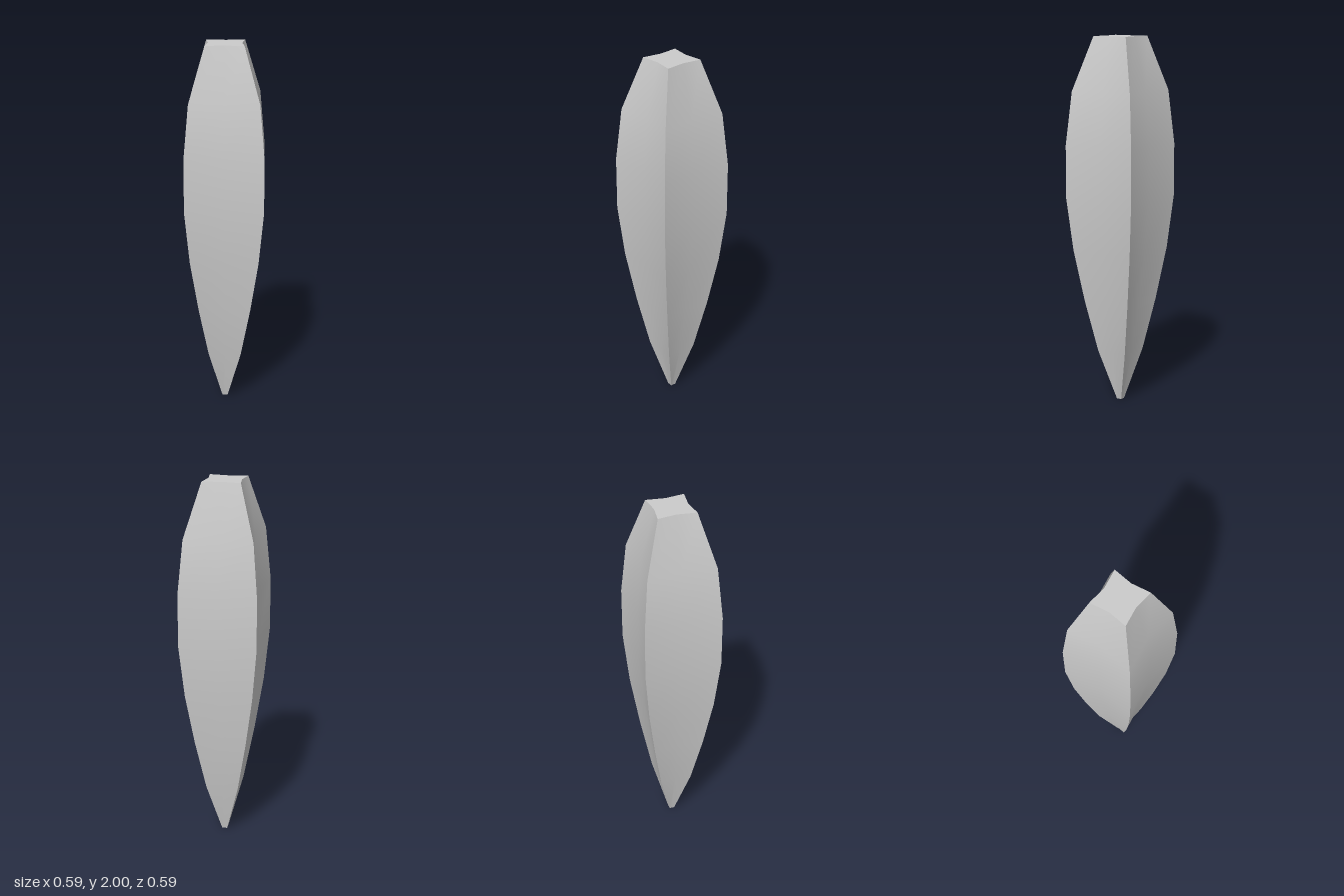
import * as THREE from 'three';
import { toCreasedNormals } from 'three/addons/utils/BufferGeometryUtils.js';

// Ridge radius at evenly spaced heights, bottom to top
const RADII = [0.02, 0.125, 0.198, 0.258, 0.295, 0.295, 0.26, 0.144];
const HEIGHT = 2;
const SIDES = 8;
// Distance of the valleys from the axis, relative to the ridges
const VALLEY = 0.435 * Math.SQRT2;

function starShaft() {
  const pos = [], index = [];
  const last = RADII.length - 1;

  // Four-pointed star cross-sections
  RADII.forEach((r, i) => {
    for (let j = 0; j < SIDES; j++) {
      const a = (j / SIDES) * Math.PI * 2;
      const d = j % 2 ? r * VALLEY : r;
      pos.push(Math.cos(a) * d, (i / last) * HEIGHT, Math.sin(a) * d);
    }
  });
  const bottom = pos.length / 3, top = bottom + 1;
  pos.push(0, 0, 0, 0, HEIGHT, 0);

  for (let j = 0; j < SIDES; j++) {
    const k = (j + 1) % SIDES;
    // Side walls
    for (let i = 0; i < last; i++) {
      const a = i * SIDES + j, b = i * SIDES + k;
      const c = a + SIDES, d = b + SIDES;
      index.push(b, a, c, b, c, d);
    }
    // Flat end caps
    index.push(bottom, j, k, top, last * SIDES + k, last * SIDES + j);
  }

  const geo = new THREE.BufferGeometry();
  geo.setAttribute('position', new THREE.Float32BufferAttribute(pos, 3));
  geo.setIndex(index);
  // Smooth along the length and valleys, sharp at ridges and caps
  return toCreasedNormals(geo, Math.PI / 6);
}

export function createModel() {
  const group = new THREE.Group();
  group.name = 'starSpike';
  const shaft = new THREE.Mesh(starShaft(), new THREE.MeshStandardMaterial({ color: 0xcccccc }));
  shaft.name = 'shaft';
  group.add(shaft);
  return group;
}
